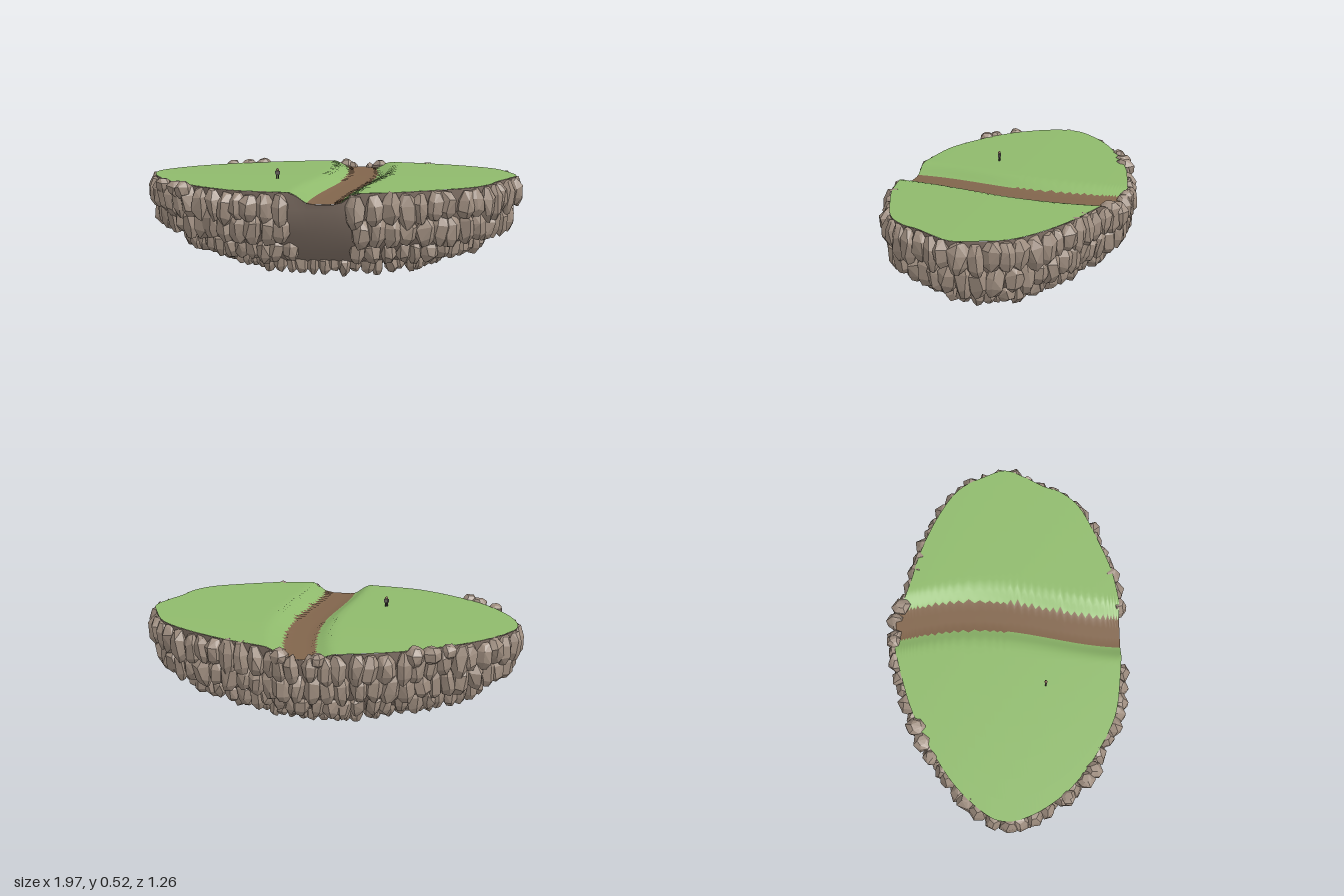
import * as THREE from 'three';
import { mergeGeometries } from 'three/addons/utils/BufferGeometryUtils.js';
import { ConvexGeometry } from 'three/addons/geometries/ConvexGeometry.js';

// Plateau outline: z, left edge x, right edge x
const OUTLINE = [
  [-0.575, -0.06, 0.15], [-0.54, -0.2, 0.21], [-0.5, -0.34, 0.32], [-0.45, -0.46, 0.49],
  [-0.36, -0.63, 0.69], [-0.25, -0.79, 0.845], [-0.1, -0.925, 0.925], [0, -0.95, 0.955],
  [0.1, -0.925, 0.915], [0.2, -0.87, 0.86], [0.3, -0.79, 0.82], [0.4, -0.67, 0.72],
  [0.5, -0.5, 0.5], [0.55, -0.36, 0.36], [0.58, -0.1, 0.2],
];

let seed = 7;
const rand = () => (seed = (seed * 16807) % 2147483647) / 2147483647;
const spread = (a) => (rand() * 2 - 1) * a;

// Winding stream bed, the height of the ground around it, and of the stones on the rim
const streamX = (z) => 0.09 + 0.05 * Math.cos((z + 0.17) * 4);
const groundY = (x, z) => {
  const bed = 1 - THREE.MathUtils.smoothstep(Math.abs(x - streamX(z)), 0.06, 0.17);
  return 0.464 + 0.011 * x - 0.025 * z * z - (0.045 + 0.018 * z) * bed;
};
const rimY = (x, z) => Math.max(groundY(x, z), z < 0 ? 0.448 : 0);

function gridGeometry(rows, cols, pointAt) {
  const pos = [], index = [];
  for (let i = 0; i <= rows; i++) {
    for (let j = 0; j <= cols; j++) {
      pos.push(...pointAt(i, j));
      if (i === rows || j === cols) continue;
      const a = i * (cols + 1) + j, b = a + cols + 1;
      index.push(a, b, a + 1, b, b + 1, a + 1);
    }
  }
  const g = new THREE.BufferGeometry();
  g.setAttribute('position', new THREE.Float32BufferAttribute(pos, 3));
  g.setIndex(index);
  g.computeVertexNormals();
  return g;
}

// Chiselled stone: hull of jittered rings, half sizes w, h, d
function rock(w, h, d) {
  const pts = [];
  const turn = rand() * 6;
  for (const [y, r] of [[-1, 0.45], [-0.5, 0.92], [0.4, 1], [1, 0.5]]) {
    for (let k = 0; k < 6; k++) {
      const a = turn + (k / 6) * Math.PI * 2 + spread(0.25);
      const s = r * (1 + spread(0.13));
      pts.push(new THREE.Vector3(Math.cos(a) * s * w, (y + spread(0.14)) * h * 0.95, Math.sin(a) * s * d));
    }
  }
  return new ConvexGeometry(pts);
}

export function createModel() {
  const model = new THREE.Group();
  const material = (name, color, extra = {}) => {
    const m = new THREE.MeshStandardMaterial({ color, ...extra });
    m.name = name;
    return m;
  };
  const grass = material('grass green', 0x8fba6c);
  const earth = material('earth brown', 0x81654c);
  const stone = material('stone', 0x9f8e80, { flatShading: true });
  const core = material('dark stone', 0x85756a);
  const cloth = material('grey cloth', 0x6a6560);
  const trousers = material('dark cloth', 0x3d3937);
  const skin = material('skin', 0x84604f);

  const add = (name, geometry, mat, parent = model) => {
    const mesh = new THREE.Mesh(geometry, mat);
    mesh.name = name;
    parent.add(mesh);
    return mesh;
  };

  // Ground: two meadows and a ragged stream bed that share their edges
  const leftCurve = new THREE.SplineCurve(OUTLINE.map(([z, l]) => new THREE.Vector2(l, z)));
  const rightCurve = new THREE.SplineCurve(OUTLINE.map(([z, , r]) => new THREE.Vector2(r, z)));
  const ROWS = 76;
  const edges = [];
  for (let i = 0; i <= ROWS; i++) {
    const l = leftCurve.getPoint(i / ROWS), r = rightCurve.getPoint(i / ROWS), z = l.y;
    const c = streamX(z), tooth = (i % 2) * (0.6 + rand() * 0.6);
    const a = c - 0.08 - (z < 0 ? tooth * 0.016 : 0);
    const b = c + 0.068 + tooth * (z > 0 ? 0.03 : 0.018);
    edges.push({ z, x: [l.x, Math.max(a, l.x), Math.min(b, r.x), r.x] });
  }
  const strip = (part, cols, ease) => gridGeometry(ROWS, cols, (i, j) => {
    const { z, x } = edges[i];
    const px = THREE.MathUtils.lerp(x[part], x[part + 1], ease(j / cols));
    return [px, groundY(px, z), z];
  });
  add('rightMeadow', strip(0, 18, (u) => 1 - (1 - u) ** 2), grass);
  add('streamBed', strip(1, 6, (u) => u), earth);
  add('leftMeadow', strip(2, 18, (u) => u * u), grass);

  // Core under the ground, lofted from scaled outlines
  const loop = new THREE.CatmullRomCurve3([
    ...OUTLINE.map(([z, , r]) => new THREE.Vector3(r, 0, z)),
    ...OUTLINE.map(([z, l]) => new THREE.Vector3(l, 0, z)).reverse(),
  ], true);
  const SIDES = 110;
  const ring = loop.getSpacedPoints(SIDES);
  const levels = [[0, 1], [0.37, 0.985], [0.25, 0.94], [0.15, 0.81], [0.06, 0.58], [0.03, 0.001]];
  add('core', gridGeometry(SIDES, levels.length - 1, (i, j) => {
    const p = ring[i], [y, s] = levels[j];
    return [p.x * s, j === 0 ? groundY(p.x, p.z) - 0.001 : y, p.z * s];
  }), core);

  // Courses of stones round the core, left open at the front of the stream
  const courses = [
    { name: 'bottomStones', y: 0.062, s: 0.58, n: 50, h: 0.052, d: 0.042 },
    { name: 'lowerStones', y: 0.15, s: 0.8, n: 56, h: 0.062, d: 0.05, gap: true },
    { name: 'middleStones', y: 0.264, s: 0.955, n: 60, h: 0.076, d: 0.05, gap: true },
    { name: 'topStones', s: 0.995, n: 64, h: 0.076, d: 0.049, gap: true },
  ];
  for (const { name, y, s, n, h, d, gap } of courses) {
    const stones = [];
    const spacing = (loop.getLength() * s) / n;
    for (let i = 0; i < n; i++) {
      const u = (i + 0.5 + spread(0.2)) / n;
      const p = loop.getPointAt(u), t = loop.getTangentAt(u);
      const x = p.x * s, z = p.z * s;
      if (gap && z > 0 && x > -0.11 && x < 0.16) continue;
      const hh = h * (1 + spread(0.14));
      const cy = y ? y + spread(0.01) : rimY(p.x, p.z) - 0.009 + spread(0.006) - hh;
      stones.push(rock(spacing * (0.56 + rand() * 0.16), hh, d * (1 + spread(0.14)))
        .rotateZ(spread(0.12)).rotateY(Math.atan2(t.z, -t.x)).translate(x, cy, z));
    }
    add(name, mergeGeometries(stones), stone);
  }

  // Loose boulders on the rim: x, z, size
  const boulders = [[-0.54, -0.43, 0.05], [-0.46, -0.46, 0.055], [-0.62, -0.39, 0.04], [0.0, -0.585, 0.04],
    [0.19, -0.55, 0.048], [-0.74, 0.38, 0.045], [-0.69, 0.42, 0.045], [-0.83, 0.29, 0.04]];
  add('rimBoulders', mergeGeometries(boulders.map(([x, z, r]) =>
    rock(r, r * 0.9, r).translate(x, rimY(x, z) - r * 0.55, z))), stone);

  // Tiny standing figure
  const figure = new THREE.Group();
  figure.name = 'figure';
  figure.position.set(-0.255, groundY(-0.255, 0.19), 0.19);
  model.add(figure);
  add('torso', new THREE.BoxGeometry(0.014, 0.019, 0.011), cloth, figure).position.y = 0.031;
  add('head', new THREE.SphereGeometry(0.0075, 10, 8), skin, figure).position.y = 0.046;
  for (const side of [-1, 1]) {
    add('leg', new THREE.BoxGeometry(0.006, 0.023, 0.008), trousers, figure).position.set(side * 0.004, 0.0115, 0);
    add('arm', new THREE.BoxGeometry(0.0045, 0.018, 0.007), cloth, figure).position.set(side * 0.0098, 0.031, 0);
  }
  return model;
}
